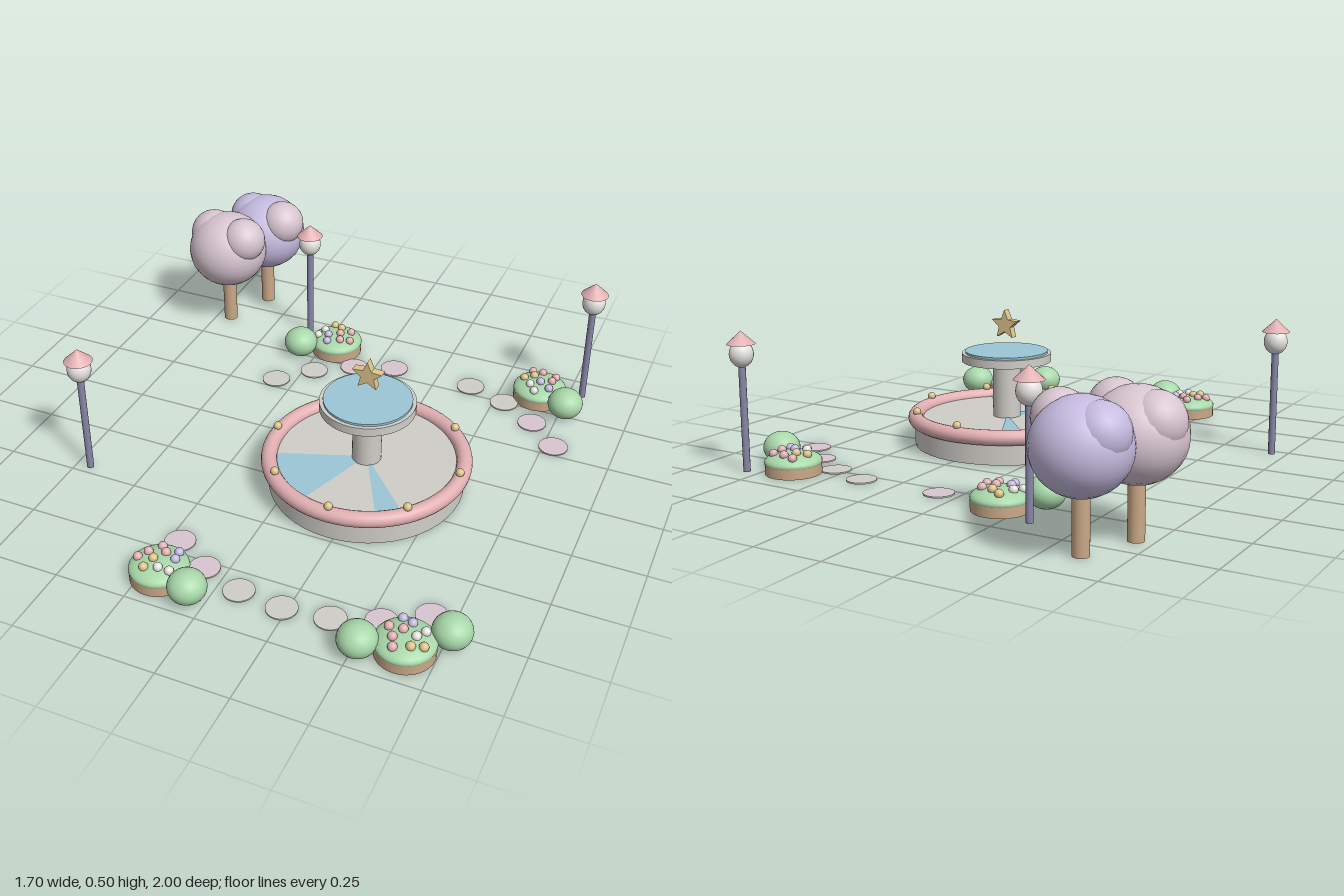
import * as THREE from 'three';

const mat = (name, color) => {
  const m = new THREE.MeshStandardMaterial({ color });
  m.name = name;
  return m;
};

export function createModel() {
  const root = new THREE.Group();
  root.name = 'fountainGarden';
  const stone = mat('stoneGrey', 0xd0cec8);
  const rose = mat('rosePink', 0xe2b0b3);
  const gold = mat('paleGold', 0xdcc48c);
  const blue = mat('waterBlue', 0x9cc6d6);
  const green = mat('leafGreen', 0xa9d8aa);
  const wood = mat('tanWood', 0xcaa987);
  const lilac = mat('lilac', 0xc6bbe0);
  const blossom = mat('blossomPink', 0xd8c5d0);
  const slate = mat('slatePurple', 0x8a86a8);
  const cream = mat('lampWhite', 0xe6e4e0);

  const BASE = 0.008; // ground level
  const CX = 0.232, CZ = 0.143; // fountain centre

  const add = (parent, name, geo, material, x = 0, y = 0, z = 0) => {
    const m = new THREE.Mesh(geo, material);
    m.name = name;
    m.position.set(x, y, z);
    parent.add(m);
    return m;
  };
  const group = (name, x, z) => {
    const g = new THREE.Group();
    g.name = name;
    g.position.set(x, 0, z);
    root.add(g);
    return g;
  };
  // upright cylinder between two heights
  const post = (parent, name, r, y0, y1, material, seg = 32) =>
    add(parent, name, new THREE.CylinderGeometry(r, r, y1 - y0, seg), material, 0, (y0 + y1) / 2, 0);
  const ball = (parent, name, r, material, x, y, z, squash = 1) => {
    const m = add(parent, name, new THREE.SphereGeometry(r, 24, 16), material, x, y, z);
    m.scale.y = squash;
    return m;
  };

  // Fountain: basin, rim, column, upper bowl
  const fountain = group('fountain', CX, CZ);
  post(fountain, 'basin', 0.343, BASE, 0.108, stone, 48);
  const rim = add(fountain, 'basinRim', new THREE.TorusGeometry(0.34, 0.028, 16, 64), rose, 0, 0.108, 0);
  rim.rotation.x = Math.PI / 2;
  post(fountain, 'column', 0.051, 0.1, 0.32, stone);
  post(fountain, 'upperBowl', 0.166, 0.317, 0.348, stone, 48);
  post(fountain, 'upperWater', 0.153, 0.347, 0.356, blue, 48);

  // Shallow pools of water across the basin floor: [middle angle, spread]
  for (const [a, spread] of [[135, 50], [55, 16], [235, 16]]) {
    const start = THREE.MathUtils.degToRad(-a - spread / 2);
    const pool = add(fountain, 'basinWater',
      new THREE.CircleGeometry(0.318, 16, start, THREE.MathUtils.degToRad(spread)), blue, 0, 0.1095, 0);
    pool.rotation.x = -Math.PI / 2;
  }

  // Gold studs around the rim
  for (let i = 0; i < 8; i++) {
    const a = (i * Math.PI) / 4;
    ball(fountain, 'rimStud', 0.015, gold, 0.34 * Math.cos(a), 0.142, 0.34 * Math.sin(a));
  }

  // Floating star
  const starShape = new THREE.Shape();
  for (let i = 0; i < 10; i++) {
    const r = i % 2 ? 0.025 : 0.056, a = Math.PI / 2 + (i * Math.PI) / 5;
    starShape[i ? 'lineTo' : 'moveTo'](r * Math.cos(a), r * Math.sin(a));
  }
  starShape.closePath();
  const starGeo = new THREE.ExtrudeGeometry(starShape, { depth: 0.03, bevelEnabled: false });
  add(fountain, 'star', starGeo, gold, 0, 0.452, -0.015);

  // Stepping stones on a ring of 28 places
  const path = { 4: 1, 5: 1, 6: 0, 7: 0, 8: 0, 9: 1, 10: 1, 17: 0, 18: 0, 19: 1, 20: 1, 22: 0, 23: 0, 24: 1, 25: 1 };
  for (const [k, pink] of Object.entries(path)) {
    const a = (k * Math.PI * 2) / 28;
    const place = group('steppingStone', CX + 0.709 * Math.cos(a), CZ + 0.709 * Math.sin(a));
    post(place, 'stone', 0.053, BASE, BASE + 0.005, pink ? blossom : stone, 24);
  }

  // Lamps
  for (const [x, z] of [[-0.336, -0.66], [0.8, -0.66], [-0.697, 0.465]]) {
    const lamp = group('lamp', x, z);
    post(lamp, 'lampPost', 0.0125, BASE, 0.39, slate, 16);
    ball(lamp, 'lampGlobe', 0.042, cream, 0, 0.423, 0, 1.1);
    add(lamp, 'lampRoof', new THREE.ConeGeometry(0.05, 0.046, 16), rose, 0, 0.481, 0);
  }

  // Trees: a main crown with two smaller puffs
  for (const [x, z, main, right] of [[-0.693, -0.648, blossom, blossom], [-0.614, -0.845, lilac, blossom]]) {
    const tree = group('tree', x, z);
    post(tree, 'trunk', 0.027, BASE, 0.26, wood, 20);
    ball(tree, 'crown', 0.155, main, 0, 0.332, 0, 0.96);
    ball(tree, 'crownPuffRight', 0.092, main, -0.068, 0.383, -0.017);
    ball(tree, 'crownPuffLeft', 0.086, right, 0.085, 0.401, 0.028);
  }

  // Planters with flowers and round bushes at their sides
  const planters = [
    [-0.19, -0.59, [[-0.12, 0.082]]],
    [0.65, -0.59, [[0.12, 0.082]]],
    [-0.19, 0.872, [[0.133, 0.06]]],
    [0.65, 0.872, [[0.12, -0.085], [-0.132, 0.06]]],
  ];
  const petals = [rose, lilac, gold, rose, cream];
  planters.forEach(([x, z, bushes], p) => {
    const bed = group('planter', x, z);
    post(bed, 'planterTub', 0.098, BASE, 0.05, wood);
    ball(bed, 'planterLeaves', 0.1, green, 0, 0.05, 0, 0.35);
    for (let i = 0; i < 10; i++) {
      const a = i * 2.4 + p * 1.3, r = 0.016 + 0.019 * Math.sqrt(i);
      ball(bed, 'flower', 0.0155, petals[(i + p) % 5],
        r * Math.cos(a), 0.05 + 0.035 * Math.sqrt(1 - (r / 0.1) ** 2) + 0.004, r * Math.sin(a));
    }
    for (const [bx, bz] of bushes) ball(bed, 'bush', 0.065, green, bx, 0.064, bz, 0.87);
  });

  return root;
}
